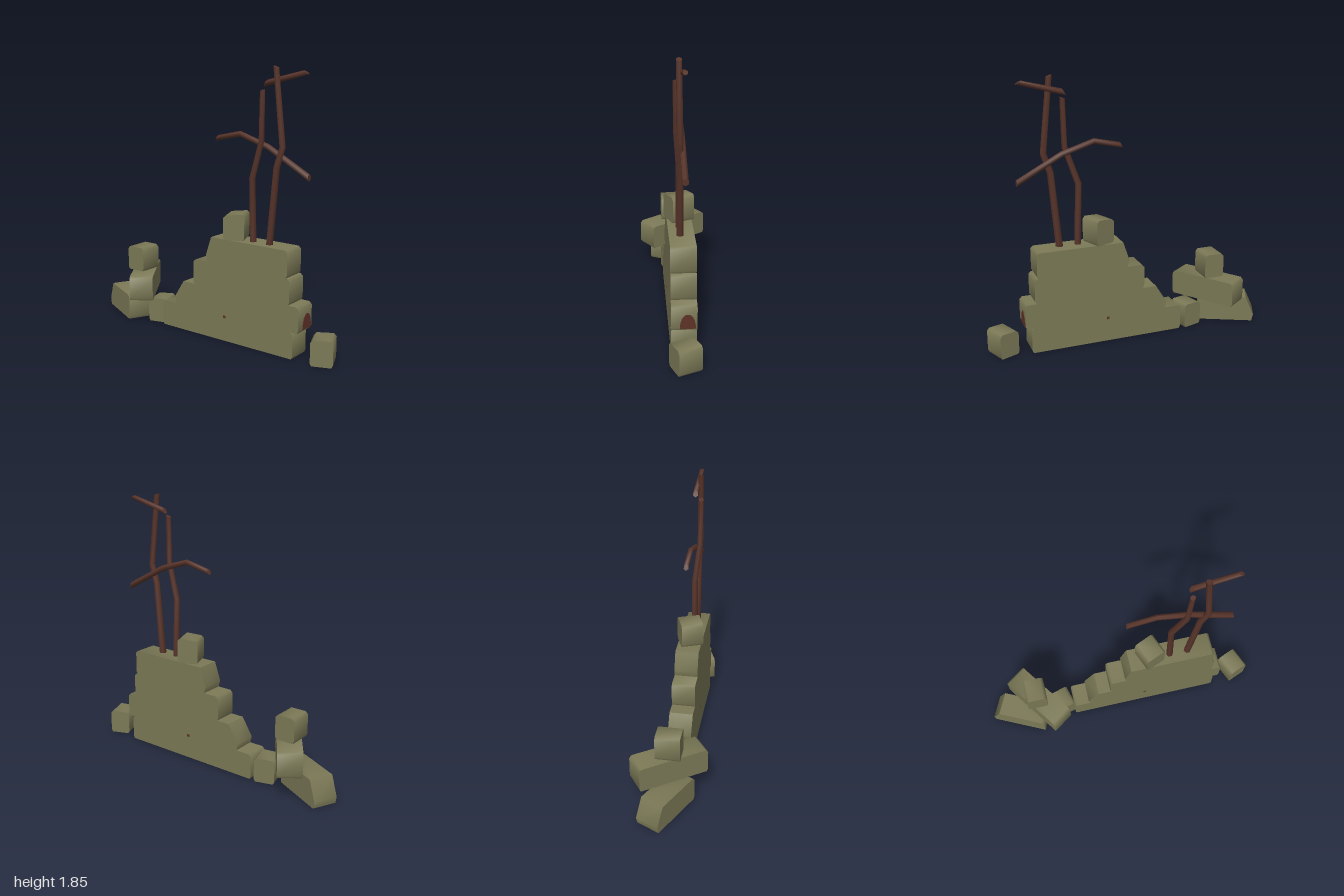
import * as THREE from 'three';
import { toCreasedNormals } from 'three/addons/utils/BufferGeometryUtils.js';

const mat = (name, color) => Object.assign(new THREE.MeshStandardMaterial({ color }), { name });

// Stone block: a chamfered front profile extruded in depth; slope leans the left end inward
function stoneGeometry(len, h, depth, slope, tilt) {
  const c = 0.018, l = len / 2;
  const left = slope > 0
    ? [[-l + slope, h - tilt], [-l, h * 0.27], [-l + 0.012, 0]]
    : [[-l + c, h - tilt], [-l, h - tilt - c], [-l, c], [-l + c * 0.5, 0]];
  const profile = [[l - c * 0.5, 0], [l, c], [l, h - c], [l - c, h], ...left];
  const shape = new THREE.Shape(profile.map(([x, y]) => new THREE.Vector2(x, y)));
  const geo = new THREE.ExtrudeGeometry(shape, { depth, bevelEnabled: false });
  geo.translate(0, 0, -depth / 2);
  return toCreasedNormals(geo, 0.9);
}

// Six-sided branch swept along points, with mitred bends and slanted cut ends
function branchGeometry(points, r0, r1, skewStart, skewEnd) {
  const sides = 6, pos = [], index = [];
  const pts = points.map(p => new THREE.Vector3(...p));
  const last = pts.length - 1;
  pts.forEach((p, i) => {
    const dir = (a, b) => pts[b].clone().sub(pts[a]).normalize();
    const t = i === 0 ? dir(0, 1) : i === last ? dir(last - 1, last)
      : dir(i - 1, i).add(dir(i, i + 1)).normalize();
    const n1 = new THREE.Vector3(-t.y, t.x, 0).normalize();
    const n2 = new THREE.Vector3().crossVectors(t, n1);
    const r = THREE.MathUtils.lerp(r0, r1, i / last);
    const skew = i === 0 ? skewStart : i === last ? skewEnd : 0;
    for (let j = 0; j < sides; j++) {
      const a = (j / sides) * Math.PI * 2, u = Math.cos(a) * r, v = Math.sin(a) * r;
      const q = p.clone().addScaledVector(n1, u).addScaledVector(n2, v).addScaledVector(t, u * skew);
      pos.push(q.x, q.y, q.z);
    }
  });
  for (let i = 0; i < last; i++) {
    for (let j = 0; j < sides; j++) {
      const k = (j + 1) % sides, a = i * sides, b = a + sides;
      index.push(a + j, a + k, b + k, a + j, b + k, b + j);
    }
  }
  const e = last * sides;
  for (let j = 1; j < sides - 1; j++) index.push(0, j + 1, j, e, e + j, e + j + 1);
  const geo = new THREE.BufferGeometry();
  geo.setAttribute('position', new THREE.Float32BufferAttribute(pos, 3));
  geo.setIndex(index);
  return toCreasedNormals(geo, 1.1);
}

export function createModel() {
  const model = new THREE.Group();
  model.name = 'ruinedWall';
  const stone = mat('olive stone', 0x7b7956);
  const wood = mat('dark wood', 0x57342a);
  const rust = mat('red brown stain', 0x5e3227);

  const add = (name, geo, material, x = 0, y = 0, z = 0, rotY = 0) => {
    const mesh = new THREE.Mesh(geo, material);
    mesh.name = name;
    mesh.position.set(x, y, z);
    mesh.rotation.y = rotY;
    model.add(mesh);
    return mesh;
  };

  // name, centre x, base y, centre z, length, height, depth, turn, left slope, top tilt
  const stones = [
    ['wallCourse1', 0.175, 0, 0, 1.09, 0.18, 0.165, 0, 0, 0],
    ['wallCourse2', 0.25, 0.18, 0, 1.02, 0.175, 0.165, 0, 0.08, 0],
    ['wallCourse3', 0.30, 0.355, 0, 0.78, 0.175, 0.165, 0, 0, 0],
    ['wallCourse4', 0.345, 0.53, 0, 0.65, 0.18, 0.165, 0, 0.045, 0],
    ['capStone', 0.215, 0.71, 0, 0.145, 0.178, 0.155, 0.38, 0, 0.012],
    ['cornerSlabLower', -0.775, 0, 0, 0.41, 0.18, 0.17, -0.45, 0.06, 0],
    ['cornerSlabUpper', -0.62, 0.18, -0.005, 0.49, 0.175, 0.165, -0.96, 0, 0],
    ['cornerCapStone', -0.633, 0.355, 0, 0.145, 0.173, 0.165, 0, 0, 0],
    ['gapStone', -0.452, 0, 0, 0.145, 0.175, 0.15, 0.28, 0, 0.005],
    ['looseStone', 0.9, 0, 0, 0.145, 0.175, 0.16, 0.38, 0, 0.005],
  ];
  for (const [name, x, y, z, len, h, d, turn, slope, tilt] of stones) {
    add(name, stoneGeometry(len, h, d, slope, tilt), stone, x, y, z, turn);
  }

  // Bare branches rising from the top course
  const branches = [
    ['uprightBranchShort', [[0.36, 0.70, 0.01], [0.347, 1.13, 0.01], [0.43, 1.38, 0.032], [0.436, 1.70, 0.036]], 0.024, 0.018, 0, -0.4],
    ['uprightBranchTall', [[0.487, 0.70, 0.01], [0.535, 1.22, 0.012], [0.578, 1.35, 0.015], [0.525, 1.845, 0.02]], 0.025, 0.02, 0, 0.5],
    ['crossBranchLong', [[0.05, 1.37, -0.004], [0.24, 1.41, -0.004], [0.46, 1.34, -0.004], [0.765, 1.173, -0.004]], 0.018, 0.021, 0.8, -0.5],
    ['crossBranchShort', [[0.435, 1.742, -0.003], [0.73, 1.815, -0.003]], 0.019, 0.016, 1, -1],
  ];
  for (const [name, pts, r0, r1, s0, s1] of branches) {
    add(name, branchGeometry(pts, r0, r1, s0, s1), wood);
  }

  // Arched stain on the right end of the second course, and small spots on the wall faces
  const arch = new THREE.Shape();
  arch.moveTo(-0.05, 0);
  arch.lineTo(0.05, 0);
  arch.bezierCurveTo(0.05, 0.06, 0.03, 0.1, 0, 0.1);
  arch.bezierCurveTo(-0.03, 0.1, -0.05, 0.06, -0.05, 0);
  const archGeo = new THREE.ExtrudeGeometry(arch, { depth: 0.004, bevelEnabled: false, curveSegments: 6 });
  add('endStain', archGeo, rust, 0.759, 0.193, -0.022, Math.PI / 2);
  for (const side of [1, -1]) {
    add('wallSpot', new THREE.BoxGeometry(0.018, 0.018, 0.004), rust, 0.178, 0.171, side * 0.083);
  }
  return model;
}
